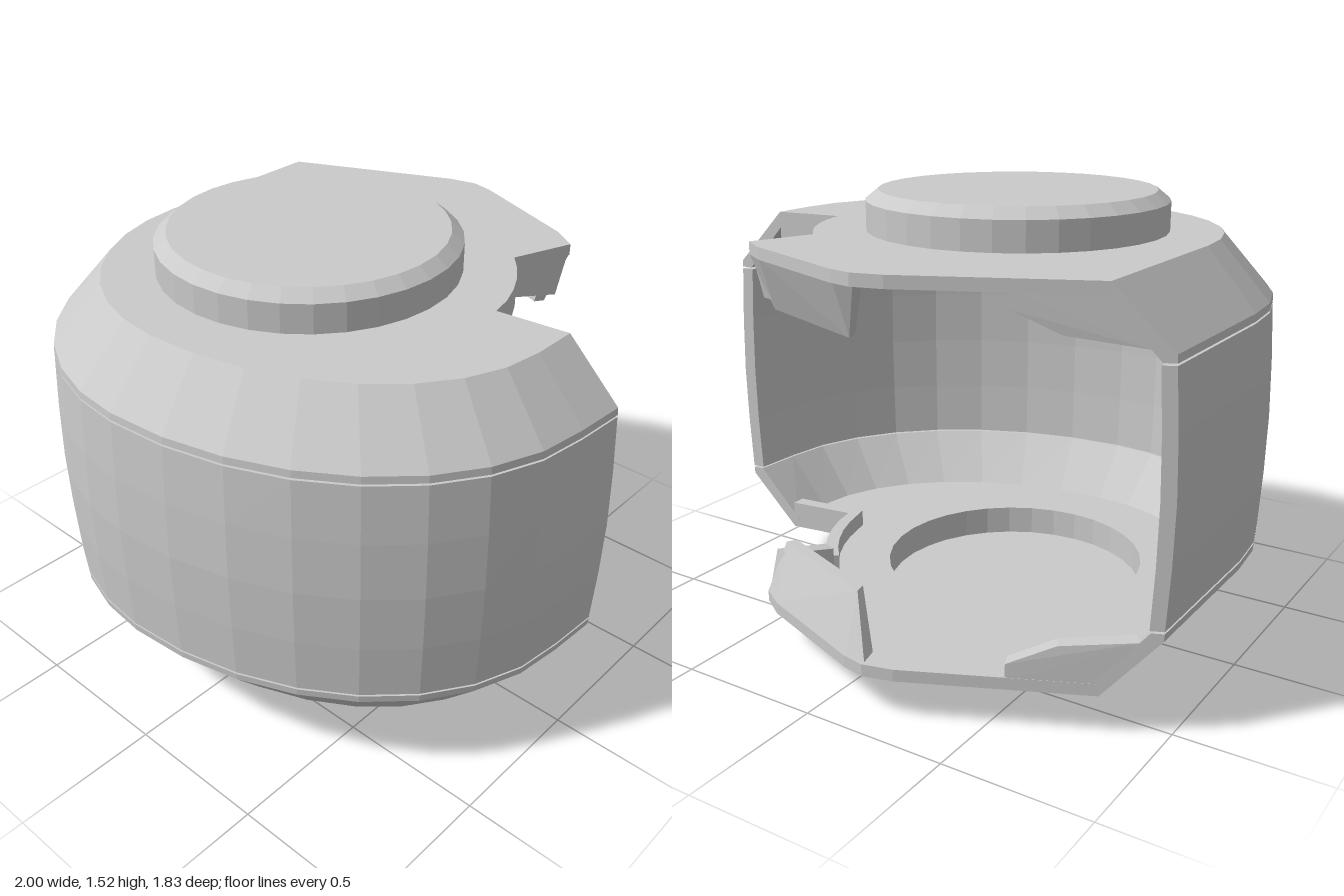
import * as THREE from 'three';
import { ConvexGeometry } from 'three/addons/geometries/ConvexGeometry.js';

const MID = 0.76;                 // height of the horizontal mirror plane
const CX = -0.125, CZ = 0.03;     // hub axis
const TOP = 1.385, UNDER = 1.345, RIM = 1.165;

// Faceted copy with outward winding, optionally mirrored top to bottom
function facet(geometry, mirrored = false) {
  const g = geometry.index ? geometry.toNonIndexed() : geometry.clone();
  for (const n of ['uv', 'normal']) g.deleteAttribute(n);
  g.clearGroups();
  if (mirrored) g.scale(1, -1, 1).translate(0, 2 * MID, 0);
  const p = g.attributes.position;
  const a = new THREE.Vector3(), b = new THREE.Vector3(), c = new THREE.Vector3();
  let volume = 0;
  for (let i = 0; i < p.count; i += 3) {
    a.fromBufferAttribute(p, i);
    b.fromBufferAttribute(p, i + 1);
    c.fromBufferAttribute(p, i + 2);
    volume += a.dot(b.cross(c));
  }
  if (volume < 0) {
    for (let i = 0; i < p.count; i += 3) {
      b.fromBufferAttribute(p, i + 1);
      c.fromBufferAttribute(p, i + 2);
      p.setXYZ(i + 1, c.x, c.y, c.z);
      p.setXYZ(i + 2, b.x, b.y, b.z);
    }
  }
  g.computeVertexNormals();
  return g;
}

// Paired plan points [x, z]: edge of the flat face and outside of the wall
function planPath() {
  const path = [{ inner: [-0.815, -0.63], outer: [-1, -0.55] }];
  const n = 16;
  for (let i = 0; i <= n; i++) {
    const t = Math.PI * (1 - i / n), c = Math.cos(t), s = Math.sin(t);
    const right = c > 0;
    path.push({
      inner: [CX + c * (right ? 0.925 : 0.69), CZ + s * 0.695],
      outer: [CX + c * (right ? 1.115 : 0.875), CZ + s * 0.885],
    });
  }
  path.push({ inner: [0.8, -0.13], outer: [1, -0.15] });
  return path;
}

// Edge of the notch between wall and hook, paired with points set back from it
function notchPath() {
  const path = [
    { inner: [0.8, -0.08], outer: [0.8, -0.13] },
    { inner: [0.52, -0.05], outer: [0.55, -0.1] },
  ];
  for (let i = 1; i <= 5; i++) {
    const t = -0.19 - 0.6 * i / 5, c = Math.cos(t), s = Math.sin(t);
    path.push({ inner: [CX + 0.645 * c, CZ + 0.645 * s], outer: [CX + 0.69 * c, CZ + 0.69 * s] });
  }
  return path;
}

// Sweep a closed section of [k, y]; k = 0 on the inner path, 1 on the outer
function sweep(path, section) {
  const pos = [], idx = [], m = section.length;
  for (const { inner, outer } of path)
    for (const [k, y] of section)
      pos.push(inner[0] + (outer[0] - inner[0]) * k, y, inner[1] + (outer[1] - inner[1]) * k);
  for (let i = 0; i < path.length - 1; i++)
    for (let j = 0; j < m; j++) {
      const a = i * m + j, b = i * m + (j + 1) % m;
      idx.push(a, b, b + m, a, b + m, a + m);
    }
  // End caps, wound to match the sides
  const last = (path.length - 1) * m;
  const pts = section.map(([k, y]) => new THREE.Vector2(k, y));
  const clockwise = THREE.ShapeUtils.isClockWise(pts);
  for (const [a, b, c] of THREE.ShapeUtils.triangulateShape(pts, [])) {
    const ccw = (pts[b].x - pts[a].x) * (pts[c].y - pts[a].y)
      - (pts[b].y - pts[a].y) * (pts[c].x - pts[a].x) > 0;
    const [p, q] = ccw !== clockwise ? [b, c] : [c, b];
    idx.push(a, q, p, last + a, last + p, last + q);
  }
  const g = new THREE.BufferGeometry();
  g.setAttribute('position', new THREE.Float32BufferAttribute(pos, 3));
  g.setIndex(idx);
  return g;
}

// Flat face of the lid with its notch, hook and hub opening
function plateGeometry(path, notch) {
  const pts = [...path.map(p => p.inner), ...notch.slice(1).map(p => p.outer),
    [0.44, -0.68], [0.35, -0.74], [-0.07, -0.9], [-0.15, -0.915], [-0.25, -0.89]];
  const shape = new THREE.Shape(pts.map(([x, z]) => new THREE.Vector2(x, -z)));
  const hole = new THREE.Path();
  hole.absarc(CX, -CZ, 0.46, 0, Math.PI * 2, true);
  shape.holes.push(hole);
  return new THREE.ExtrudeGeometry(shape, { depth: TOP - UNDER, bevelEnabled: false, curveSegments: 16 })
    .rotateX(-Math.PI / 2).translate(0, UNDER, 0);
}

// Hub cup, hollow from the inside
function hubGeometry() {
  const profile = [[0, 1.45], [0.46, 1.45], [0.46, 1.38], [0.513, 1.38],
    [0.513, 1.485], [0.47, 1.52], [0, 1.52]];
  return new THREE.LatheGeometry(profile.map(([x, y]) => new THREE.Vector2(x, y)), 32)
    .translate(CX, 0, CZ);
}

const hull = pts => new ConvexGeometry(pts.map(p => new THREE.Vector3(...p)));

export function createModel() {
  const model = new THREE.Group();
  model.name = 'openHousing';
  const grey = new THREE.MeshStandardMaterial({ color: 0xcacaca });
  grey.name = 'grey';
  const path = planPath(), notch = notchPath();

  const add = (parent, name, geometry, mirrored) => {
    const mesh = new THREE.Mesh(facet(geometry, mirrored), grey);
    mesh.name = name;
    parent.add(mesh);
  };

  // Slightly barrelled side wall, open at the back
  add(model, 'sideWall', sweep(path, [
    [0.92, 0.362], [0.975, 0.56], [1, 0.76], [0.975, 0.96], [0.92, 1.158],
    [0.7, 1.158], [0.75, 0.96], [0.77, 0.76], [0.75, 0.56], [0.7, 0.362],
  ]));

  // Lid parts, made for the top and mirrored for the bottom
  const parts = {
    plate: plateGeometry(path, notch),
    bevelledSkirt: sweep(path, [[0, TOP], [0.91, 1.19], [0.92, RIM], [0.72, RIM], [-0.08, UNDER], [-0.08, 1.37], [0, 1.37]]),
    hub: hubGeometry(),
    // Rim hanging under the notch edge
    notchRim: sweep(notch, [[0, 1.37], [1, 1.37], [1, 1.285], [0, 1.285]]),
    // Slanted lip behind the hook
    rearLip: hull([
      [0.435, UNDER, -0.685], [0.35, UNDER, -0.735], [-0.07, UNDER, -0.89], [-0.15, UNDER, -0.9],
      [0.38, RIM, -0.64], [-0.06, RIM, -0.81], [0.36, RIM, -0.61], [-0.05, RIM, -0.77],
      [0.40, 1.36, -0.62], [-0.14, 1.36, -0.84],
    ]),
    // Rib on the end of the hook
    hookRib: hull([
      [0.36, 1.37, -0.46], [0.437, 1.37, -0.68], [0.31, 1.37, -0.48], [0.38, 1.37, -0.69],
      [0.36, 1.235, -0.46], [0.42, 1.2, -0.645], [0.31, 1.235, -0.48], [0.37, 1.2, -0.66],
    ]),
    // Thickened corner beside the wall
    cornerGusset: hull([
      [-0.815, 1.36, -0.629], [-0.56, 1.36, -0.746], [-0.79, 1.36, -0.58], [-0.54, 1.36, -0.70],
      [-0.56, 1.30, -0.746], [-0.54, 1.30, -0.70],
      [-0.92, 1.2, -0.583], [-0.70, 1.23, -0.68], [-0.89, 1.2, -0.54], [-0.68, 1.23, -0.63],
    ]),
  };
  for (const [name, mirrored] of [['topLid', false], ['bottomLid', true]]) {
    const lid = new THREE.Group();
    lid.name = name;
    for (const part in parts) add(lid, part, parts[part], mirrored);
    model.add(lid);
  }
  return model;
}
